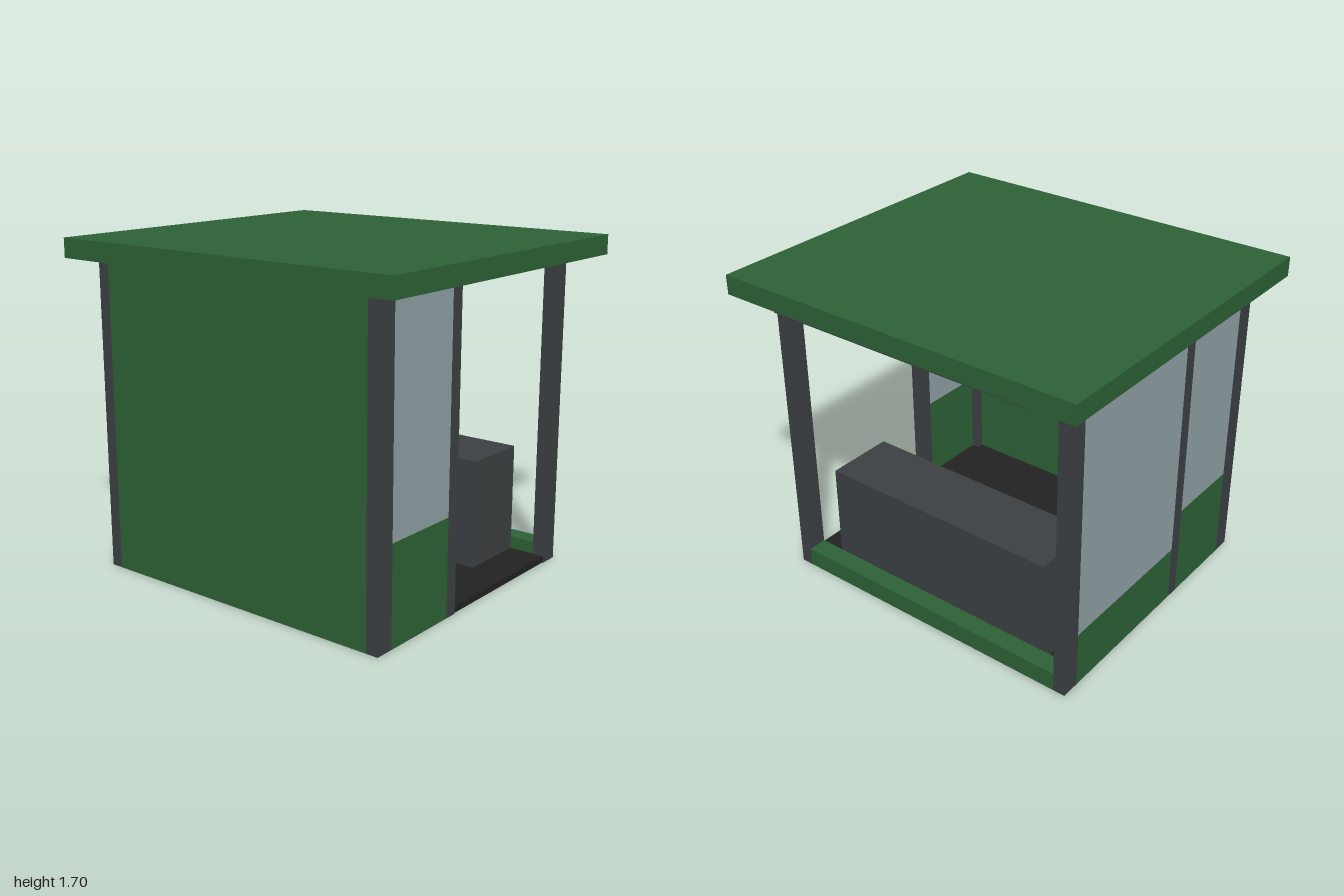
import * as THREE from 'three';

const mat = (name, color) => {
  const m = new THREE.MeshStandardMaterial({ color });
  m.name = name;
  return m;
};

export function createModel() {
  const green = mat('green paint', 0x2d6135);
  const metal = mat('dark grey metal', 0x3c4042);
  const glass = mat('grey glass', 0x8fa0a5);
  const black = mat('black floor', 0x222222);
  const kiosk = new THREE.Group();
  kiosk.name = 'kiosk';

  // Box given by its extents on each axis
  const box = (name, material, [x0, x1], [y0, y1], [z0, z1]) => {
    const mesh = new THREE.Mesh(new THREE.BoxGeometry(x1 - x0, y1 - y0, z1 - z0), material);
    mesh.position.set((x0 + x1) / 2, (y0 + y1) / 2, (z0 + z1) / 2);
    mesh.name = name;
    kiosk.add(mesh);
  };
  // Depth range on the front (s = 1) or the back (s = -1)
  const depth = (s, a, b) => (s > 0 ? [a, b] : [-b, -a]);

  const outer = 0.865, inner = 0.8, pane = 0.845, eaves = 1.6;

  // Roof, ceiling and floor
  box('roof', green, [-0.9, 0.9], [eaves, 1.7], [-1, 1]);
  box('ceiling', metal, [-0.735, 0.725], [1.57, eaves - 0.001], [-pane + 0.001, pane - 0.001]);
  box('floor', black, [-0.735, 0.63], [0.002, 0.035], [-pane, pane]);
  box('threshold', black, [-0.2, 0.63], [0.002, 0.035], [pane, outer - 0.003]);
  box('doorHeader', metal, [-0.2, 0.63], [1.57, eaves], [pane, outer - 0.003]);

  // Posts along the front and the back
  for (const s of [1, -1]) {
    const side = s > 0 ? 'front' : 'back';
    for (const [n, x0, x1] of [['Right', -0.8, -0.7], ['Middle', -0.27, -0.2], ['Left', 0.63, 0.73]])
      box(`${side}${n}Post`, metal, [x0, x1], [0, eaves], depth(s, inner, outer));
    // Narrow glazed bay beside the solid wall
    box(`${side}NarrowPanel`, green, [-0.7, -0.27], [0, 0.5], depth(s, pane, outer));
    box(`${side}NarrowWindow`, glass, [-0.7, -0.27], [0.5, eaves], depth(s, pane, outer));
  }

  // Wide glazed bay at the back
  box('backWidePanel', green, [-0.2, 0.63], [0, 0.3], [-outer, -pane]);
  box('backWideWindow', glass, [-0.2, 0.63], [0.3, eaves], [-outer, -pane]);

  // Solid side wall, and the open serving side opposite
  box('solidWall', green, [-0.8, -0.735], [0, eaves], [-inner, inner]);
  box('servingSill', green, [0.63, 0.73], [0, 0.1], [-inner, inner]);
  box('counter', metal, [0.265, 0.63], [0.035, 0.6], [-0.665, 0.665]);
  box('shutterRail', metal, [0.8, 0.865], [1.57, eaves], [-0.73, 0.73]);

  return kiosk;
}
